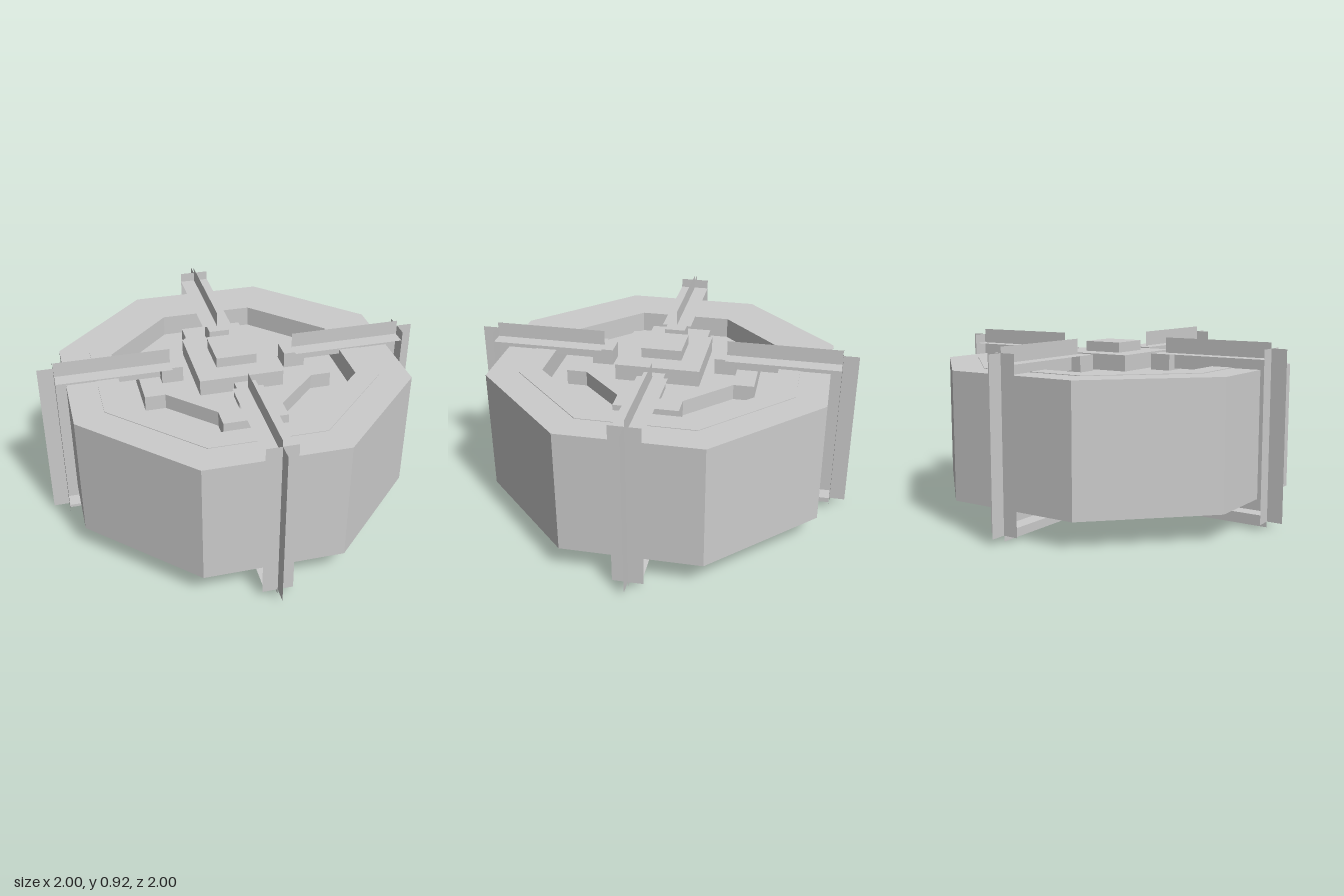
import * as THREE from 'three';

const MID = 0.46; // height of the symmetry plane

export function createModel() {
  const group = new THREE.Group();
  const solid = new THREE.MeshStandardMaterial({ color: 0xcccccc, flatShading: true });
  const sheet = new THREE.MeshStandardMaterial({ color: 0xcccccc, flatShading: true, side: THREE.DoubleSide });

  const add = (parent, name, geometry, material, x = 0, y = 0, z = 0) => {
    const mesh = new THREE.Mesh(geometry, material);
    mesh.name = name;
    mesh.position.set(x, y, z);
    parent.add(mesh);
    return mesh;
  };

  // Regular octagon with flats on the axes, given its half width
  const octagon = (a) => {
    const r = a / Math.cos(Math.PI / 8);
    return Array.from({ length: 8 }, (_, i) => {
      const t = (i + 0.5) * Math.PI / 4;
      return new THREE.Vector2(r * Math.cos(t), r * Math.sin(t));
    });
  };

  // Upright prism centred on the symmetry plane
  const prism = (name, points, halfHeight, hole) => {
    const shape = new THREE.Shape(points);
    if (hole) shape.holes.push(new THREE.Path(hole));
    const g = new THREE.ExtrudeGeometry(shape, { depth: 2 * halfHeight, bevelEnabled: false });
    g.translate(0, 0, -halfHeight).rotateX(-Math.PI / 2);
    add(group, name, g, solid, 0, MID);
  };

  // Octagonal body with a thin raised lip and a recessed floor
  prism('outerRing', octagon(0.863), 0.323, octagon(0.60));
  prism('innerLip', octagon(0.708), 0.326, octagon(0.597));
  prism('recessedFloor', octagon(0.62), 0.215);

  // Cross-shaped hub with chamfered inner corners
  const quarter = [[0.49, -0.165], [0.49, 0.165], [0.385, 0.165]];
  const hub = [];
  for (let i = 0; i < 4; i++) {
    for (const [x, y] of [...quarter, [0.165, 0.385]]) {
      hub.push(new THREE.Vector2(x, y).rotateAround(new THREE.Vector2(), i * Math.PI / 2));
    }
  }
  prism('hubCross', hub, 0.295);

  // Stepped square caps, top and bottom
  add(group, 'wideCap', new THREE.BoxGeometry(0.433, 0.755, 0.433), solid, 0, MID);
  add(group, 'smallCap', new THREE.BoxGeometry(0.21, 0.86, 0.21), solid, 0, MID);

  // Four straps, each made of crossed thin strips around the body
  for (let i = 0; i < 4; i++) {
    const strap = new THREE.Group();
    strap.name = 'strap';
    strap.rotation.y = i * Math.PI / 2;
    for (const s of [-1, 1]) {
      const y = MID + s * 0.381;
      const flat = new THREE.PlaneGeometry(0.59, 0.157).rotateX(-Math.PI / 2);
      add(strap, 'flatStrip', flat, sheet, 0.622, y);
      add(strap, 'uprightStrip', new THREE.PlaneGeometry(0.59, 0.157), sheet, 0.622, y);
      add(strap, 'clip', new THREE.BoxGeometry(0.11, 0.11, 0.11), solid, 0.325, MID + s * 0.323);
    }
    add(strap, 'sideStrip', new THREE.PlaneGeometry(0.157, 0.86).rotateY(Math.PI / 2), sheet, 0.919, MID);
    add(strap, 'sideFin', new THREE.PlaneGeometry(0.16, 0.86), sheet, 0.92, MID);
    group.add(strap);
  }
  return group;
}
